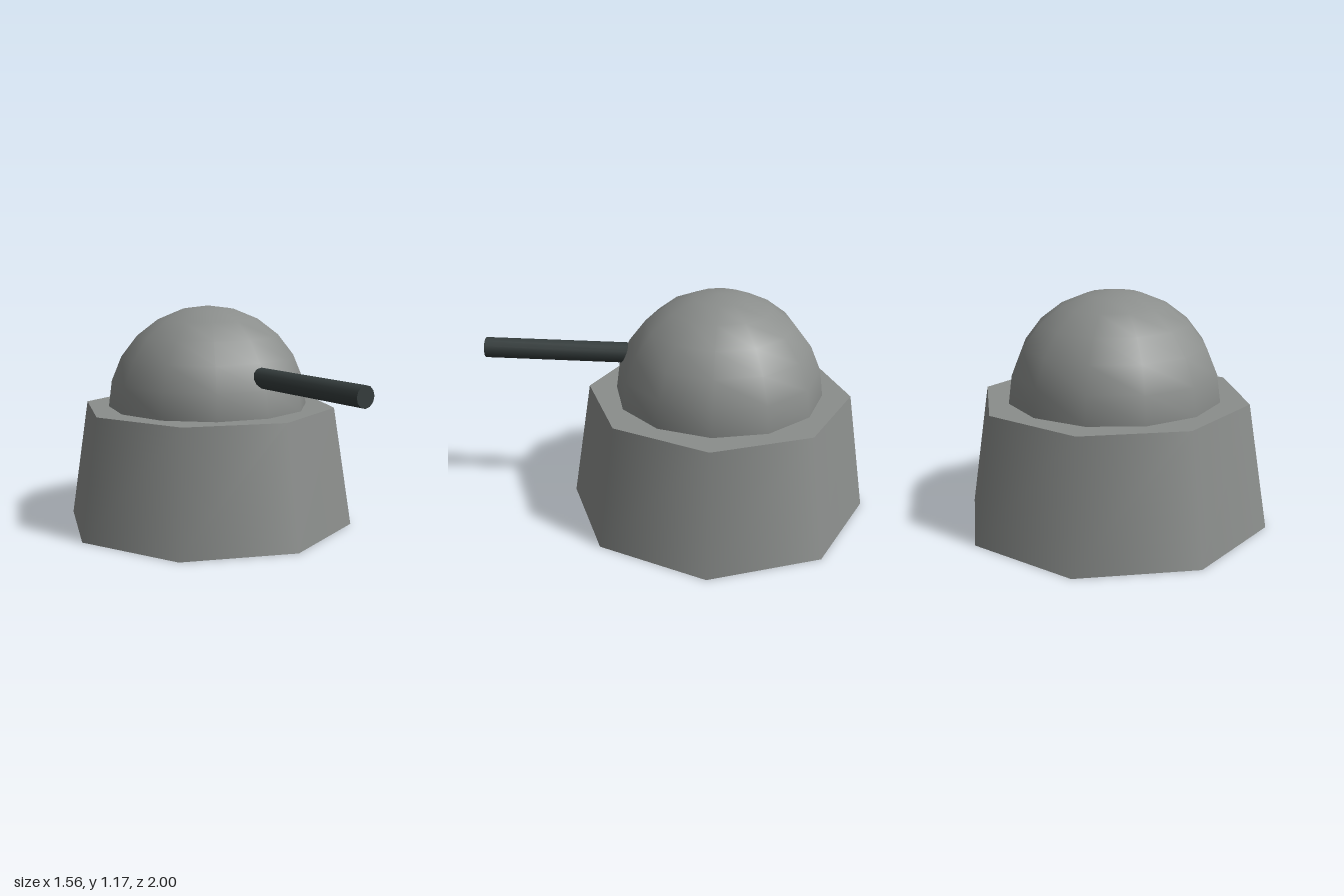
import * as THREE from 'three';

export function createModel() {
  const model = new THREE.Group();
  const grey = new THREE.MeshStandardMaterial({ color: 0x8b8e8c });
  grey.name = 'concreteGrey';
  const dark = new THREE.MeshStandardMaterial({ color: 0x353d3d });
  dark.name = 'gunmetal';

  const add = (name, geometry, material, y, z) => {
    const mesh = new THREE.Mesh(geometry, material);
    mesh.name = name;
    mesh.position.set(0, y, z);
    model.add(mesh);
    return mesh;
  };

  const baseHeight = 0.635;
  const centreZ = -0.22;

  // Tapered eight-sided base
  add('base', new THREE.CylinderGeometry(0.68, 0.78, baseHeight, 8), grey, baseHeight / 2, centreZ);

  // Half-sphere turret dome resting on the base
  add('dome', new THREE.SphereGeometry(0.535, 12, 6, 0, Math.PI * 2, 0, Math.PI / 2), grey, baseHeight, centreZ);

  // Barrel pointing forward, its rear end sunk into the dome
  const back = 0.1, front = 1;
  const barrel = add('barrel', new THREE.CylinderGeometry(0.053, 0.053, front - back, 12), dark, 0.832, (front + back) / 2);
  barrel.rotation.x = Math.PI / 2;

  return model;
}
